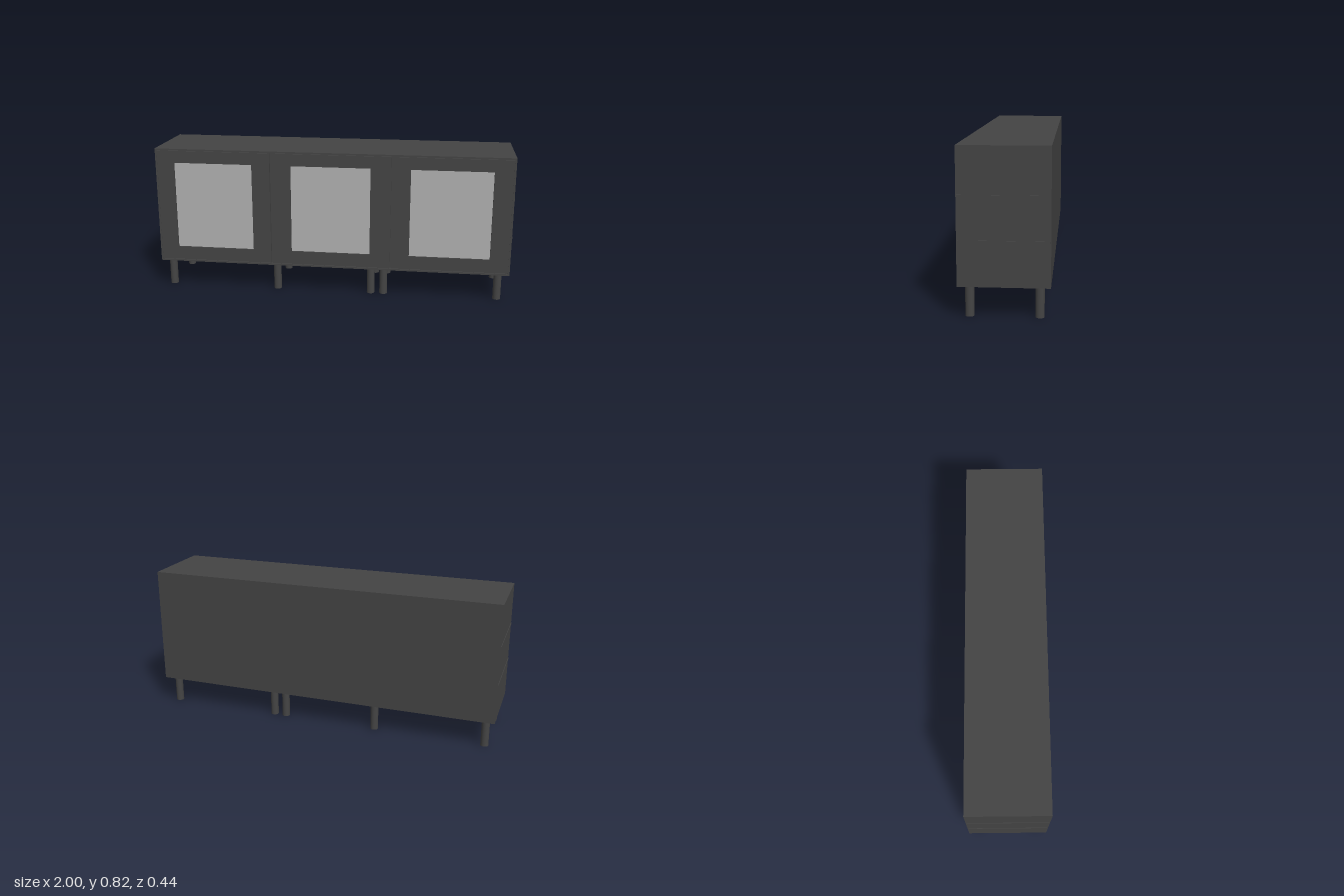
import * as THREE from 'three';

const DARK = new THREE.MeshStandardMaterial({ color: 0x444444 });
const GLASS = new THREE.MeshStandardMaterial({ color: 0xb0b0b0 });

const X = 0.997, Z = 0.22, BOTTOM = 0.157, TOP = 0.82;

export function createModel() {
  const model = new THREE.Group();
  model.name = 'sideboard';

  const add = (parent, name, geometry, x, y, z, material = DARK) => {
    const mesh = new THREE.Mesh(geometry, material);
    mesh.name = name;
    mesh.position.set(x, y, z);
    parent.add(mesh);
    return mesh;
  };
  // Box given by its minimum and maximum corners
  const box = (parent, name, [x0, y0, z0], [x1, y1, z1], material) =>
    add(parent, name, new THREE.BoxGeometry(x1 - x0, y1 - y0, z1 - z0),
      (x0 + x1) / 2, (y0 + y1) / 2, (z0 + z1) / 2, material);

  // Carcass: top, base, back, sides and inner dividers
  const carcass = new THREE.Group();
  carcass.name = 'carcass';
  model.add(carcass);
  const y0 = BOTTOM + 0.01, y1 = TOP - 0.01;
  box(carcass, 'topPanel', [-X, y1, -Z], [X, TOP, Z]);
  box(carcass, 'basePanel', [-X, BOTTOM, -Z], [X, y0, Z]);
  box(carcass, 'backPanel', [-X + 0.01, y0, -Z], [X - 0.01, y1, -Z + 0.01]);
  for (const s of [-1, 1]) {
    const side = s < 0 ? 'right' : 'left';
    add(carcass, side + 'SidePanel', new THREE.BoxGeometry(0.01, y1 - y0, 2 * Z),
      s * (X - 0.005), (y0 + y1) / 2, 0);
    // Thin horizontal strips across each end
    for (const y of [0.375, 0.588])
      add(carcass, side + 'SideStrip', new THREE.BoxGeometry(0.006, 0.009, 0.43), s * X, y, 0);
  }
  for (const x of [-0.34, 0.336])
    box(carcass, 'divider', [x - 0.006, y0, -Z + 0.01], [x + 0.006, y1, Z - 0.02]);

  // Framed doors with a recessed pane: [left edge, right edge, pane left, pane right]
  const doors = [
    [-0.996, -0.343, -0.89, -0.445],
    [-0.338, 0.334, -0.225, 0.22],
    [0.339, 0.996, 0.44, 0.885],
  ];
  const rect = (Type, a, b, c, d) =>
    new Type([[a, b], [c, b], [c, d], [a, d]].map(([x, y]) => new THREE.Vector2(x, y)));
  const paneLow = 0.245, paneHigh = 0.74;
  for (const [a, b, p, q] of doors) {
    const door = new THREE.Group();
    door.name = 'door';
    model.add(door);
    const frame = rect(THREE.Shape, a, y0 + 0.002, b, y1 - 0.002);
    frame.holes.push(rect(THREE.Path, p, paneLow, q, paneHigh));
    add(door, 'doorFrame', new THREE.ExtrudeGeometry(frame, { depth: 0.018, bevelEnabled: false }),
      0, 0, Z - 0.02);
    box(door, 'doorPane', [p, paneLow, Z - 0.016], [q, paneHigh, Z - 0.01], GLASS);
  }

  // Round legs in front and back rows
  const legGeometry = new THREE.CylinderGeometry(0.022, 0.022, BOTTOM, 32);
  for (const x of [-0.945, -0.318, 0.225, 0.297, 0.937])
    for (const z of [-0.167, 0.167])
      add(model, z > 0 ? 'frontLeg' : 'backLeg', legGeometry, x, BOTTOM / 2, z);

  return model;
}
